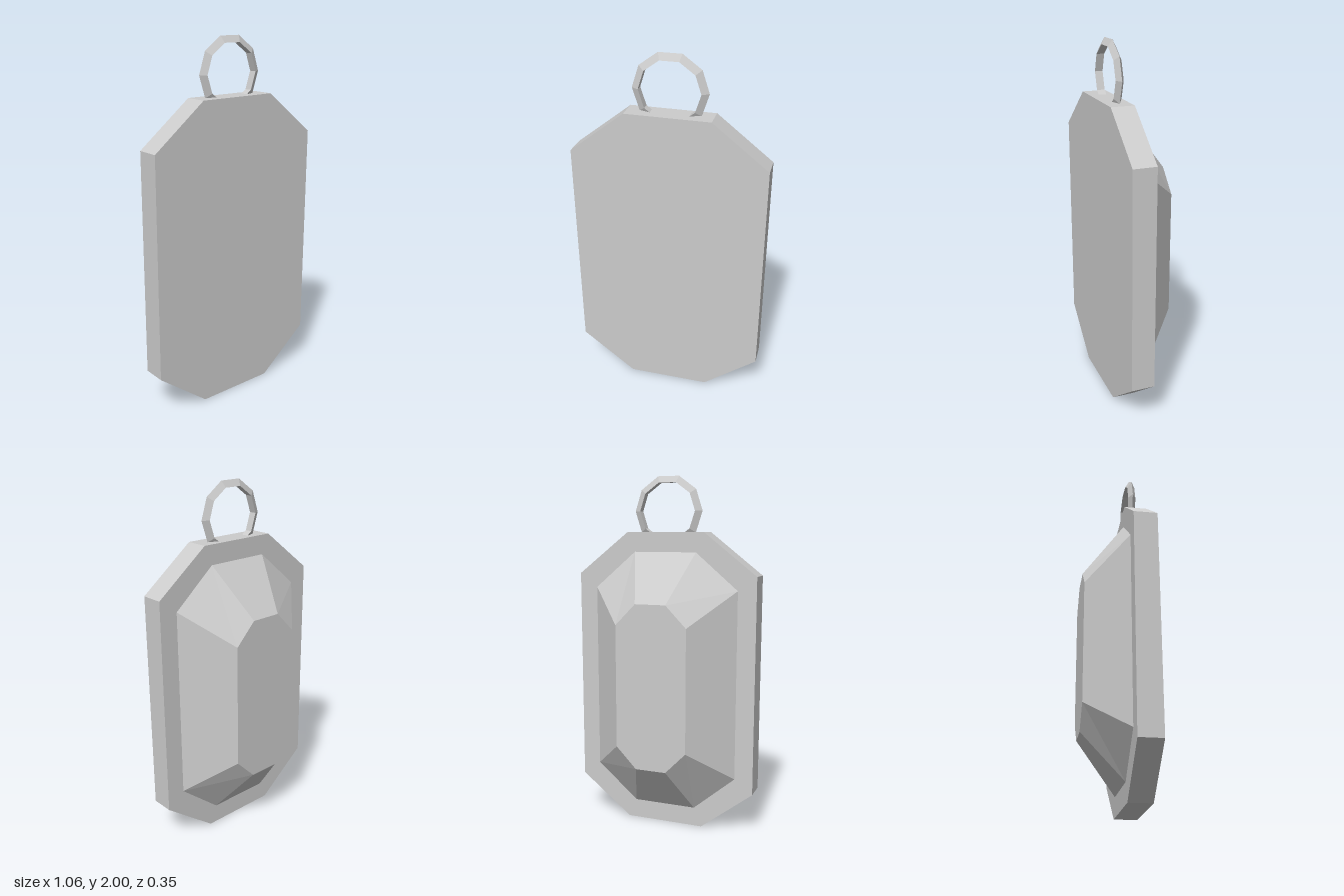
import * as THREE from 'three';

const MID_Y = 0.847;

// Eight corners of a tall rectangle with cut corners, counter-clockwise from the front
function octagon(halfW, halfH, flatW, flatH) {
  return [
    [halfW, -flatH], [halfW, flatH], [flatW, halfH], [-flatW, halfH],
    [-halfW, flatH], [-halfW, -flatH], [-flatW, -halfH], [flatW, -halfH],
  ];
}

// Solid between a back outline and a front outline, both capped
function frustum(back, zBack, front, zFront) {
  const pos = [];
  const n = back.length;
  const b = (i) => [back[i % n][0], back[i % n][1] + MID_Y, zBack];
  const f = (i) => [front[i % n][0], front[i % n][1] + MID_Y, zFront];
  for (let i = 0; i < n; i++) {
    pos.push(...b(i), ...b(i + 1), ...f(i + 1), ...b(i), ...f(i + 1), ...f(i));
    if (i > 0 && i < n - 1) {
      pos.push(...f(0), ...f(i), ...f(i + 1));
      pos.push(...b(0), ...b(i + 1), ...b(i));
    }
  }
  const geo = new THREE.BufferGeometry();
  geo.setAttribute('position', new THREE.Float32BufferAttribute(pos, 3));
  geo.computeVertexNormals();
  return geo;
}

export function createModel() {
  const group = new THREE.Group();
  const material = new THREE.MeshStandardMaterial({ color: 0xcccccc, flatShading: true });
  const add = (name, geometry) => {
    const mesh = new THREE.Mesh(geometry, material);
    mesh.name = name;
    group.add(mesh);
    return mesh;
  };

  // Flat plate with cut corners
  const plate = octagon(0.528, MID_Y, 0.228, 0.612);
  add('plate', frustum(plate, 0.047, plate, 0.175));

  // Faceted stone tapering towards the back
  const stoneBase = octagon(0.423, 0.738, 0.182, 0.533);
  const stoneTable = octagon(0.205, 0.465, 0.088, 0.345);
  add('stone', frustum(stoneTable, -0.175, stoneBase, 0.047));

  // Ten-sided hanging ring with a triangular section, sunk into the plate
  const ring = add('ring', new THREE.TorusGeometry(0.175, 0.025, 3, 10));
  ring.position.set(0, 1.81, 0.103);

  return group;
}
